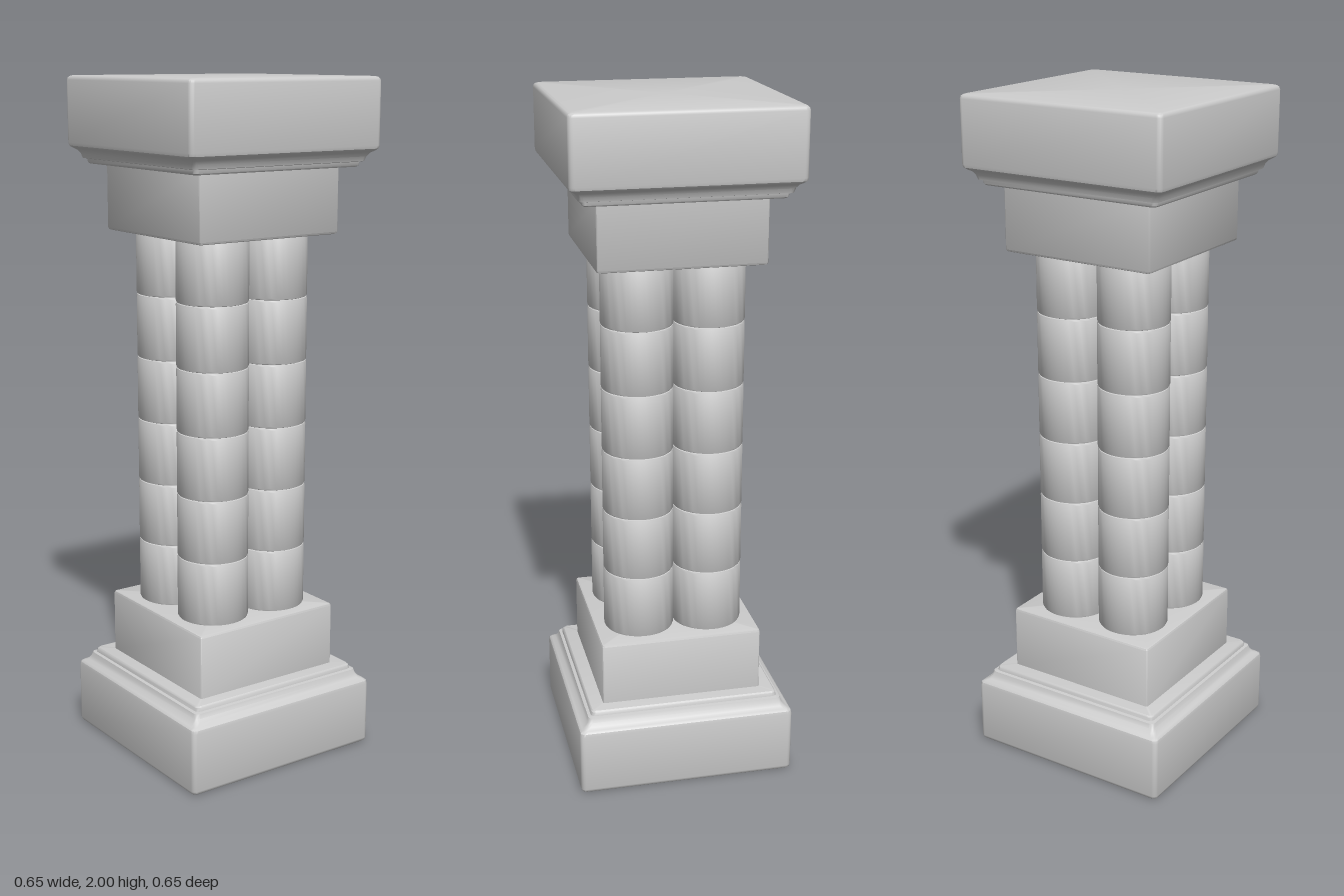
import * as THREE from 'three';
import { toCreasedNormals } from 'three/addons/utils/BufferGeometryUtils.js';

const stone = new THREE.MeshStandardMaterial({ color: 0xcccccc });

// Square ring with rounded corners, listed counter-clockwise seen from +y
function squareRing(half, y, radius, steps = 4) {
  const r = Math.min(radius, half);
  const ring = [];
  for (let c = 0; c < 4; c++) {
    const mid = Math.PI / 4 + c * Math.PI / 2;
    const cx = Math.sign(Math.cos(mid)) * (half - r);
    const cz = Math.sign(Math.sin(mid)) * (half - r);
    for (let i = 0; i <= steps; i++) {
      const a = c * Math.PI / 2 + (i / steps) * Math.PI / 2;
      ring.push([cx + r * Math.cos(a), y, -(cz + r * Math.sin(a))]);
    }
  }
  return ring;
}

// Loft a profile of [half width, height] upwards and close both ends
function squareLoft(profile, radius) {
  const rings = profile.map(([half, y]) => squareRing(half, y, radius));
  const n = rings[0].length;
  const pos = rings.flat(2);
  const index = [];
  for (let k = 0; k < rings.length - 1; k++) {
    for (let i = 0; i < n; i++) {
      const j = (i + 1) % n;
      const a = k * n + i, b = k * n + j, c = a + n, d = b + n;
      index.push(a, b, d, a, d, c);
    }
  }
  const bottom = pos.length / 3, top = bottom + 1;
  const last = (rings.length - 1) * n;
  pos.push(0, profile[0][1], 0, 0, profile[profile.length - 1][1], 0);
  for (let i = 0; i < n; i++) {
    const j = (i + 1) % n;
    index.push(bottom, j, i, top, last + i, last + j);
  }
  const geometry = new THREE.BufferGeometry();
  geometry.setAttribute('position', new THREE.Float32BufferAttribute(pos, 3));
  geometry.setIndex(index);
  return toCreasedNormals(geometry, Math.PI / 5);
}

function addMesh(parent, name, geometry) {
  const mesh = new THREE.Mesh(geometry, stone);
  mesh.name = name;
  parent.add(mesh);
  return mesh;
}

export function createModel() {
  const model = new THREE.Group();
  model.name = 'clusteredPillar';

  // Plinth: rounded slab with a cove moulding on top
  const slab = squareLoft([
    [0.311, 0], [0.317, 0.002], [0.321, 0.006], [0.323, 0.013],
    [0.323, 0.19], [0.321, 0.199], [0.314, 0.205],
    [0.304, 0.211], [0.297, 0.221], [0.293, 0.234],
    [0.284, 0.236], [0.282, 0.246], [0.278, 0.25],
  ], 0.014);

  // Smaller block that the shafts stand on
  const block = squareLoft([
    [0.236, 0.245], [0.24, 0.249], [0.24, 0.434], [0.238, 0.439], [0.234, 0.441],
  ], 0.007);

  // The capital is the base turned upside down
  for (const end of ['base', 'capital']) {
    const group = new THREE.Group();
    group.name = end;
    addMesh(group, end + 'Slab', slab);
    addMesh(group, end + 'Block', block);
    if (end === 'capital') {
      group.rotation.x = Math.PI;
      group.position.y = 2;
    }
    model.add(group);
  }

  // Four touching shafts, each a stack of six drums with eased edges
  const drums = 6, low = 0.44, high = 1.565, r = 0.104;
  const h = (high - low) / drums;
  const drumProfile = [
    [0, 0], [r - 0.006, 0], [r - 0.002, 0.0015], [r, 0.006],
    [r, h - 0.006], [r - 0.002, h - 0.0015], [r - 0.006, h], [0, h],
  ].map(([x, y]) => new THREE.Vector2(x, y));
  const drum = toCreasedNormals(new THREE.LatheGeometry(drumProfile, 40), Math.PI / 4);
  for (const x of [-1, 1]) {
    for (const z of [-1, 1]) {
      const shaft = new THREE.Group();
      shaft.name = (z > 0 ? 'front' : 'back') + (x > 0 ? 'Left' : 'Right') + 'Shaft';
      shaft.position.set(x * 0.104, low, z * 0.104);
      for (let i = 0; i < drums; i++) {
        addMesh(shaft, 'drum' + (i + 1), drum).position.y = i * h;
      }
      model.add(shaft);
    }
  }
  return model;
}
